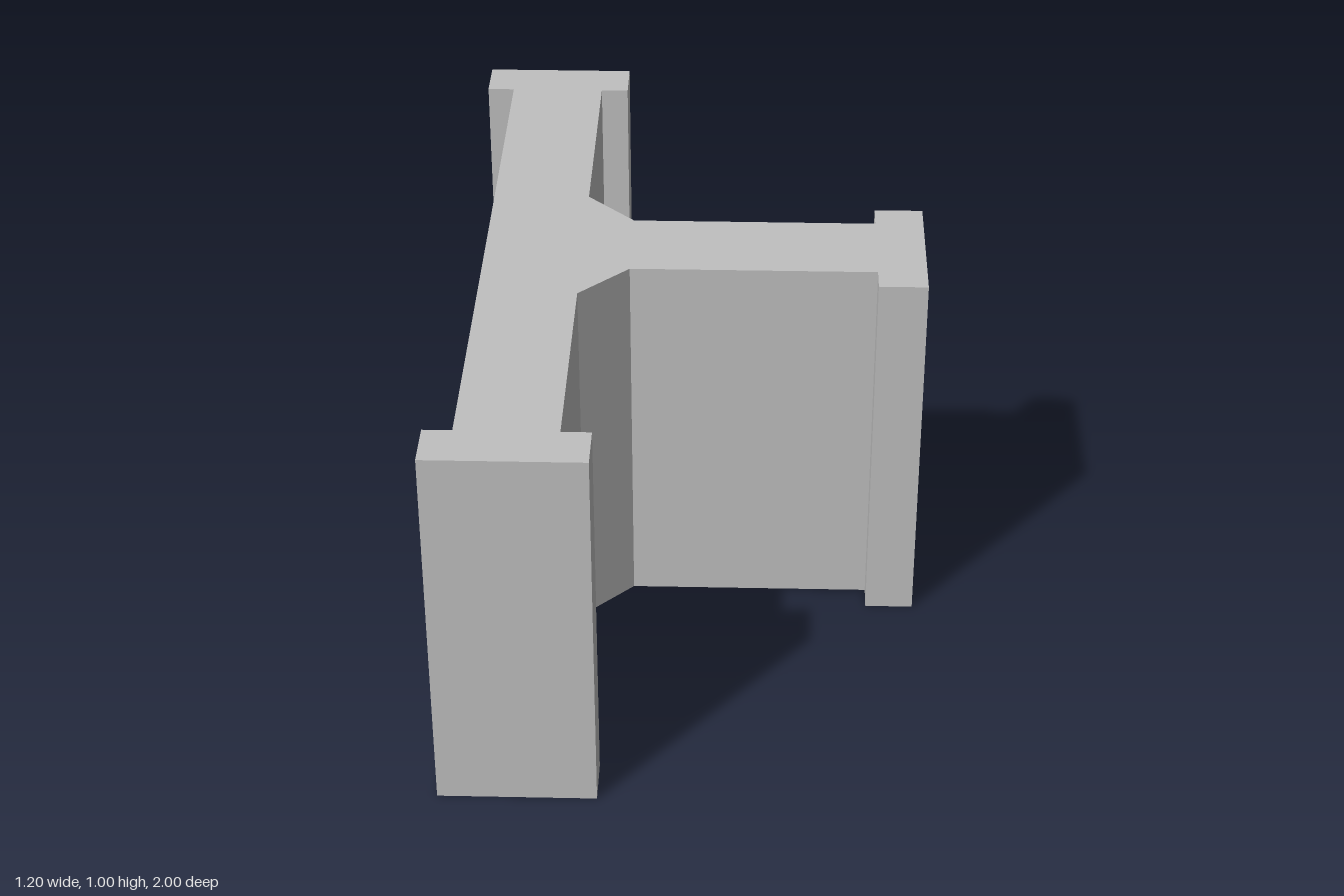
import * as THREE from 'three';

export function createModel() {
  const group = new THREE.Group();
  group.name = 'wallJunction';
  const grey = new THREE.MeshStandardMaterial({ color: 0xc0c0c0 });
  grey.name = 'grey';

  // Half of the T-shaped plan, from the tip of the stem round to the back of the long wall
  const half = [
    [0.6, 0.197], [0.475, 0.197], [0.475, 0.125], // stem end flange
    [-0.153, 0.125], [-0.278, 0.25],              // chamfered inner corner
    [-0.278, 0.875], [-0.205, 0.875], [-0.205, 1], // long wall and its end flange
    [-0.6, 1], [-0.6, 0.875], [-0.528, 0.875],
  ];
  // Mirror the half to close the outline
  const mirrored = half.map(([x, z]) => [x, -z]).reverse();
  const outline = [...half, ...mirrored].map(([x, z]) => new THREE.Vector2(x, z));

  // Extrude the plan upwards
  const geometry = new THREE.ExtrudeGeometry(new THREE.Shape(outline), { depth: 1, bevelEnabled: false });
  geometry.rotateX(-Math.PI / 2);

  const wall = new THREE.Mesh(geometry, grey);
  wall.name = 'flangedTWall';
  group.add(wall);
  return group;
}
